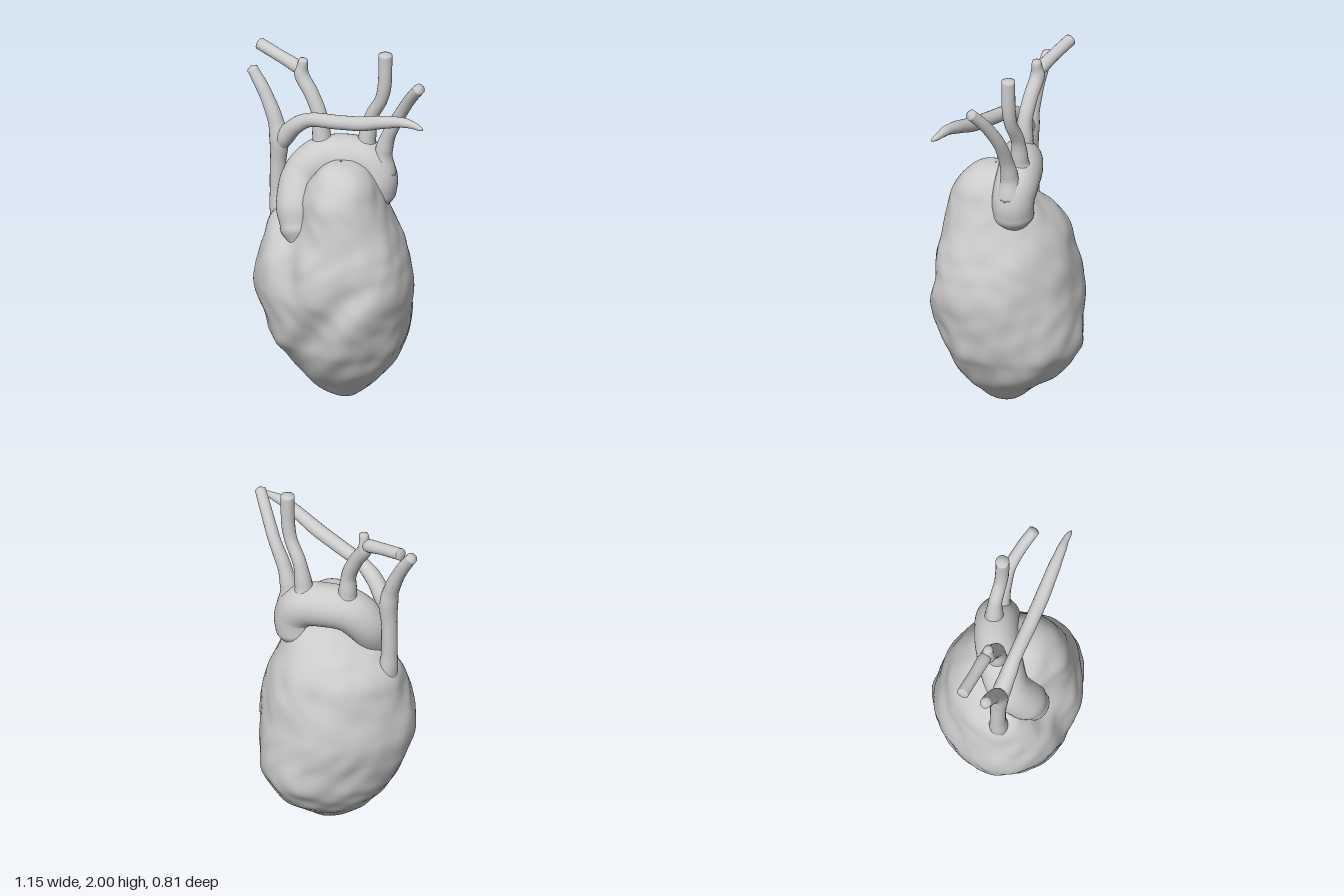
import * as THREE from 'three';
import { mergeVertices } from 'three/addons/utils/BufferGeometryUtils.js';

const material = new THREE.MeshStandardMaterial({ color: 0xcccccc, roughness: 0.7 });
const gauss = (d, w) => Math.exp(-(d * d) / (w * w));
const { sin, cos } = Math;

// Soft lumps with no main direction
const lumps = (x, y, z) => sin(x) * cos(y) + sin(y) * cos(z) + sin(z) * cos(x);

// Closed tube through points [x, y, z, radius], smooth along its length
function vessel(name, pts, segments = 48, sides = 18) {
  const path = new THREE.CatmullRomCurve3(pts.map(p => new THREE.Vector3(p[0], p[1], p[2])));
  const geo = new THREE.TubeGeometry(path, segments, 1, sides);
  const pos = geo.attributes.position, v = new THREE.Vector3();
  for (let i = 0; i <= segments; i++) {
    const u = i / segments, c = path.getPointAt(u);
    const t = path.getUtoTmapping(u) * (pts.length - 1);
    const k = Math.min(Math.floor(t), pts.length - 2);
    const end = i === 0 || i === segments; // collapse the end rings to make caps
    const r = end ? 0 : THREE.MathUtils.lerp(pts[k][3], pts[k + 1][3], THREE.MathUtils.smoothstep(t - k, 0, 1));
    for (let j = 0; j <= sides; j++) {
      const n = i * (sides + 1) + j;
      v.fromBufferAttribute(pos, n).sub(c).multiplyScalar(r).add(c);
      pos.setXYZ(n, v.x, v.y, v.z);
    }
  }
  geo.deleteAttribute('uv');
  geo.deleteAttribute('normal');
  const merged = mergeVertices(geo, 1e-5);
  merged.computeVertexNormals();
  const mesh = new THREE.Mesh(merged, material);
  mesh.name = name;
  return mesh;
}

// Muscular body: rounded sections [y, xMin, xMax, zMin, zMax], widest toward the front
function heartBody() {
  const sections = [
    [0, -0.005, 0.015, -0.005, 0.005], [0.025, -0.09, 0.08, -0.07, 0.09],
    [0.1, -0.21, 0.175, -0.165, 0.175], [0.2, -0.3, 0.255, -0.305, 0.25],
    [0.3, -0.37, 0.31, -0.37, 0.31], [0.4, -0.42, 0.355, -0.4, 0.355],
    [0.6, -0.475, 0.385, -0.385, 0.4], [0.7, -0.48, 0.39, -0.37, 0.405],
    [0.8, -0.455, 0.375, -0.355, 0.395], [0.9, -0.43, 0.35, -0.33, 0.375],
    [1.0, -0.405, 0.315, -0.295, 0.35], [1.1, -0.32, 0.275, -0.24, 0.33],
    [1.2, -0.2, 0.24, -0.17, 0.3], [1.29, -0.13, 0.21, -0.1, 0.25],
    [1.355, -0.08, 0.15, -0.05, 0.2], [1.385, -0.03, 0.08, 0.0, 0.14],
    [1.39, 0.01, 0.02, 0.06, 0.07],
  ];
  const rail = (ix, iz) => new THREE.CatmullRomCurve3(
    sections.map(s => new THREE.Vector3(s[ix], s[0], s[iz])), false, 'catmullrom', 0.5);
  const low = rail(1, 3), high = rail(2, 4);
  const rows = 128, sides = 112, verts = [], faces = [];
  for (let i = 0; i <= rows; i++) {
    const a = low.getPoint(i / rows), b = high.getPoint(i / rows);
    const y = Math.max(0, a.y), cx = (a.x + b.x) / 2, hx = (b.x - a.x) / 2;
    const mid = (a.z + b.z) / 2 + 0.095 * (b.z - a.z);
    const fade = Math.min(1, Math.max(0, hx) / 0.2);
    for (let j = 0; j < sides; j++) {
      const t = j / sides * Math.PI * 2, c = cos(t), s = sin(t), front = Math.max(0, s);
      const wide = s > 0 ? Math.sign(c) * Math.abs(c) ** 0.93 : c;
      let x = cx + hx * wide, z = mid + s * (s > 0 ? b.z - mid : mid - a.z);
      // Irregular lumps, stronger toward the apex
      const lump = lumps(15 * x + sin(7 * y), 10 * y + 2 * sin(5 * x), 15 * z + 1)
        + 0.5 * lumps(34 * x + 2 * sin(11 * y), 27 * y + sin(13 * z), 33 * z + 2);
      const swell = 0.0055 * lump * fade * (y < 0.5 ? 1.2 : 0.8);
      x += c * swell;
      z += s * swell;
      // Diagonal groove between the ventricles, with a ridge beside it
      const d = (x - 0.08) * 0.8 - (y - 0.53) * 0.6;
      const along = THREE.MathUtils.smoothstep(y, 0.05, 0.45) * (1 - THREE.MathUtils.smoothstep(y, 0.7, 0.95));
      z -= Math.sqrt(front) * along * (0.042 * gauss(d, 0.08) - 0.01 * gauss(d - 0.14, 0.07));
      // Hollow that seats the ascending aorta, and the furrow below it
      z -= Math.sqrt(front) * fade * 0.11 * gauss(x + 0.19, 0.13) * gauss(y - 1.06, 0.16);
      z -= front * 0.03 * gauss(x + 0.13, 0.09) * gauss(y - 0.8, 0.16);
      verts.push(x, y, z);
    }
  }
  for (let i = 0; i < rows; i++) for (let j = 0; j < sides; j++) {
    const k = (j + 1) % sides, p = i * sides, q = p + sides;
    faces.push(p + j, q + j, p + k, p + k, q + j, q + k);
  }
  const geo = new THREE.BufferGeometry();
  geo.setAttribute('position', new THREE.Float32BufferAttribute(verts, 3));
  geo.setIndex(faces);
  geo.computeVertexNormals();
  const mesh = new THREE.Mesh(geo, material);
  mesh.name = 'heartBody';
  return mesh;
}

export function createModel() {
  const group = new THREE.Group();
  group.name = 'heart';
  group.add(heartBody());

  // Aorta, rising at the front and arching over to the left rear
  group.add(vessel('aorticArch', [
    [-0.135, 0.9, 0.265, 0.02], [-0.165, 1.0, 0.215, 0.092], [-0.195, 1.12, 0.17, 0.116],
    [-0.214, 1.25, 0.09, 0.115], [-0.15, 1.34, 0.02, 0.119], [-0.03, 1.36, -0.06, 0.12],
    [0.07, 1.335, -0.105, 0.118], [0.12, 1.26, -0.115, 0.114], [0.115, 1.17, -0.112, 0.112],
    [0.11, 1.09, -0.11, 0.07]], 80, 32));

  // Arteries off the arch
  group.add(vessel('brachiocephalicArtery', [
    [-0.14, 1.38, 0, 0.085], [-0.155, 1.47, 0, 0.05], [-0.165, 1.58, 0, 0.041],
    [-0.22, 1.7, 0, 0.04], [-0.285, 1.8, 0, 0.04], [-0.277, 1.86, 0, 0.028], [-0.272, 1.9, 0, 0.022]]));
  group.add(vessel('rightSubclavianArtery', [
    [-0.275, 1.815, 0, 0.026], [-0.33, 1.838, -0.005, 0.036], [-0.43, 1.865, -0.01, 0.033],
    [-0.575, 1.9, -0.02, 0.033]]));
  group.add(vessel('leftCarotidArtery', [
    [0.05, 1.38, -0.11, 0.08], [0.06, 1.47, -0.115, 0.048], [0.085, 1.6, -0.12, 0.037],
    [0.15, 1.72, -0.12, 0.035], [0.17, 1.81, -0.12, 0.037], [0.175, 2.0, -0.12, 0.037]]));
  group.add(vessel('leftSubclavianArtery', [
    [0.15, 1.28, -0.12, 0.08], [0.165, 1.42, -0.12, 0.047], [0.2, 1.53, -0.12, 0.038],
    [0.27, 1.66, -0.12, 0.034], [0.36, 1.79, -0.09, 0.032], [0.45, 1.89, -0.05, 0.03]]));

  // Great vein and its two branches
  group.add(vessel('venaCava', [
    [-0.34, 0.9, 0.1, 0.06], [-0.36, 1.03, 0.1, 0.052], [-0.37, 1.15, 0.1, 0.043],
    [-0.368, 1.3, 0.1, 0.043], [-0.362, 1.44, 0.1, 0.052], [-0.388, 1.55, 0.1, 0.042],
    [-0.455, 1.69, 0.1, 0.036], [-0.545, 1.82, 0.1, 0.03]], 64));
  group.add(vessel('leftBrachiocephalicVein', [
    [-0.365, 1.38, 0.1, 0.035], [-0.32, 1.465, 0.1, 0.05], [-0.245, 1.55, 0.105, 0.045],
    [-0.16, 1.602, 0.105, 0.038], [0.02, 1.636, 0.108, 0.039], [0.18, 1.668, 0.108, 0.039],
    [0.32, 1.712, 0.105, 0.035], [0.44, 1.74, 0.102, 0.027], [0.52, 1.738, 0.1, 0.018],
    [0.575, 1.73, 0.108, 0.008]], 72));
  return group;
}
